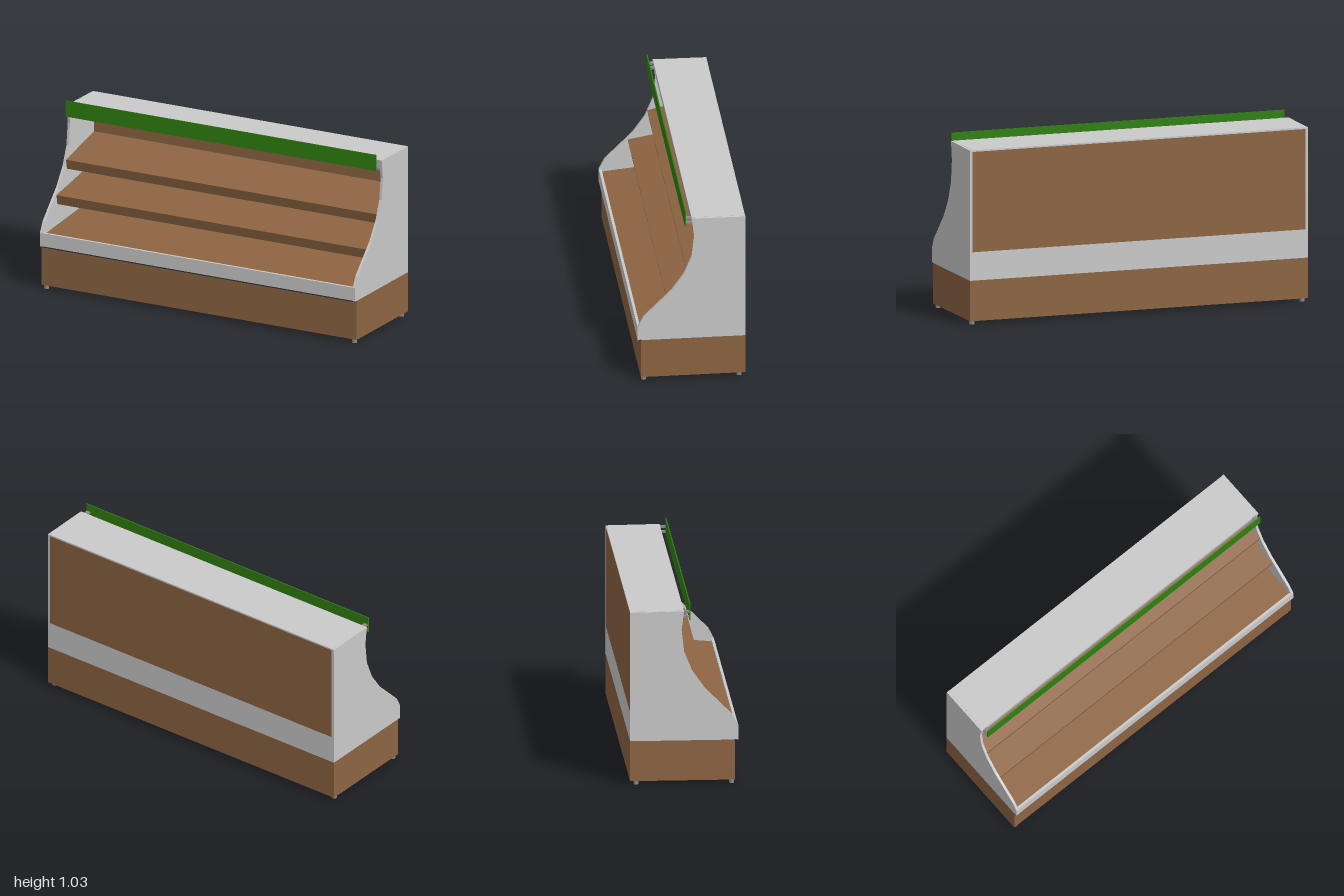
import * as THREE from 'three';

export function createModel() {
  const group = new THREE.Group();
  const material = (name, color) => {
    const m = new THREE.MeshStandardMaterial({ color });
    m.name = name;
    return m;
  };
  const wood = material('wood brown', 0x8d6442);
  const panel = material('panel grey', 0xcacaca);
  const green = material('sign green', 0x2f800f);
  const metal = material('metal grey', 0x8a8a8a);
  const trim = material('dark trim', 0x2c333a);

  const add = (name, geometry, mat) => {
    const mesh = new THREE.Mesh(geometry, mat);
    mesh.name = name;
    group.add(mesh);
    return mesh;
  };
  // Box given by its limits on each axis
  const box = (name, mat, x0, x1, y0, y1, z0, z1) => {
    const g = new THREE.BoxGeometry(x1 - x0, y1 - y0, z1 - z0);
    g.translate((x0 + x1) / 2, (y0 + y1) / 2, (z0 + z1) / 2);
    return add(name, g, mat);
  };
  // Side profile of [z, y] points, extruded across x
  const profile = (name, mat, points, width, x = 0) => {
    const shape = new THREE.Shape(points.map(([z, y]) => new THREE.Vector2(z, y)));
    const g = new THREE.ExtrudeGeometry(shape, { depth: width, bevelEnabled: false });
    g.rotateY(-Math.PI / 2).translate(x + width / 2, 0, 0);
    return add(name, g, mat);
  };

  const inner = 0.985, thick = 0.015, back = -0.285;

  // Plinth, trim line and feet
  box('plinth', wood, -1, 1, 0.022, 0.25, -0.3, 0.283);
  box('trimStrip', trim, -1, 1, 0.245, 0.253, 0.28, 0.296);
  for (const x of [-0.977, 0.977]) {
    for (const z of [-0.266, 0.265]) {
      const foot = new THREE.CylinderGeometry(0.014, 0.014, 0.024, 16);
      add('foot', foot, metal).position.set(x, 0.012, z);
    }
  }

  // Curved side panels
  const sideProfile = [
    [-0.3, 0.25], [0.301, 0.25], [0.301, 0.33], [0.27, 0.39], [0.195, 0.465],
    [0.115, 0.545], [0.045, 0.645], [0, 0.755], [-0.014, 0.88],
    [-0.007, 0.935], [0, 0.986], [-0.3, 0.983],
  ];
  for (const s of [-1, 1]) {
    profile('sidePanel', panel, sideProfile, thick, s * (1 - thick / 2));
  }

  // Back wall in two colours, and front kerb
  box('lowerBackWall', panel, -inner, inner, 0.25, 0.41, -0.299, back);
  box('upperBackWall', wood, -inner, inner, 0.41, 0.975, -0.299, back);
  box('frontKerb', panel, -inner, inner, 0.253, 0.33, 0.286, 0.301);

  // Sloping deck and two shelves with tilted front lips
  profile('deck', wood, [
    [0.286, 0.315], [back, 0.37], [back, 0.355], [0.286, 0.3],
  ], 2 * inner);
  for (const [z, y] of [[0.14, 0.505], [0.032, 0.68]]) {
    profile('shelf', wood, [
      [z, y], [back, y + 0.075], [back, y + 0.063],
      [z - 0.012, y - 0.01], [z - 0.022, y - 0.053], [z - 0.011, y - 0.055],
    ], 2 * inner);
  }

  // Canopy with a sloping underside, and a light bar below its front edge
  profile('canopy', panel, [
    [-0.299, 0.984], [-0.299, 0.975], [back, 0.975], [back, 0.818],
    [-0.008, 0.935], [-0.001, 0.987],
  ], 2 * inner);
  box('lightBar', metal, -0.95, 0.95, 0.918, 0.94, -0.03, -0.01);

  // Sign board held by two pairs of brackets
  box('signBoard', green, -inner, inner, 0.933, 1.026, 0.03, 0.036);
  for (const x of [-0.97, 0.97]) {
    for (const y of [0.95, 0.978]) {
      box('signBracket', metal, x - 0.012, x + 0.012, y - 0.005, y + 0.005, -0.01, 0.03);
    }
  }

  return group;
}
